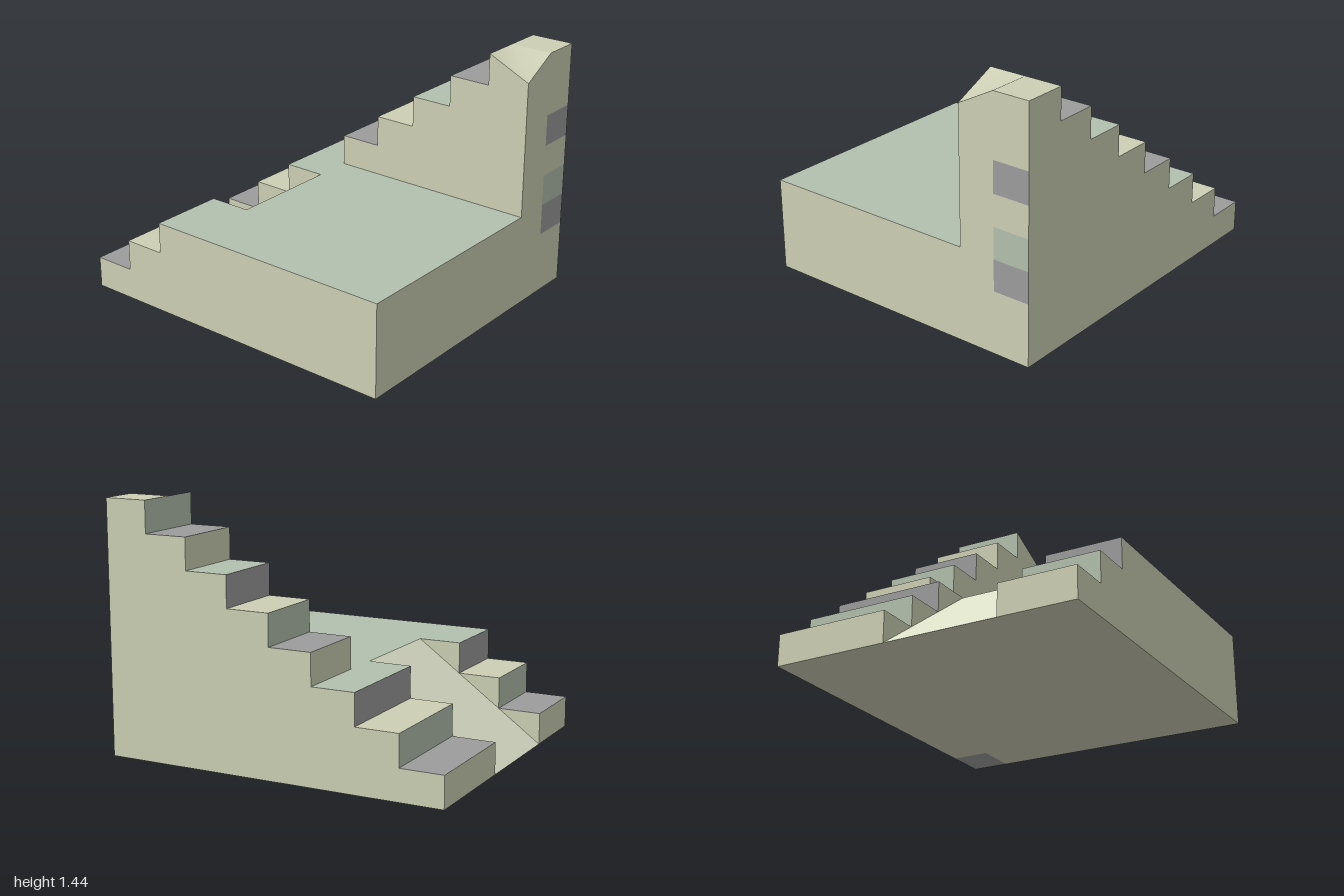
import * as THREE from 'three';

const TAN = 0xcccfb4, GREEN = 0xb3c0ae, GREY = 0x9c9c9c, PALE = 0xdcdfc8;
const CYCLE = [GREY, TAN, GREEN];
const W = 0.875;               // half width
const RISE = 0.1795, RUN = 0.25;
const DECK = 3 * RISE, TOP = 8 * RISE;
const RAMP_X0 = -0.4375, RAMP_X1 = 0.2175;
const TOWER_X = 0.4375, CHAMFER_X = 0.655, CHAMFER_Y = 1.32;
const stepZ = (i) => -1 + i * RUN;

export function createModel() {
  const model = new THREE.Group();
  const materials = {};
  const add = (name, color, geometry) => {
    materials[color] ??= new THREE.MeshStandardMaterial({ color });
    const mesh = new THREE.Mesh(geometry, materials[color]);
    mesh.name = name;
    model.add(mesh);
  };

  // Four corners, counter-clockwise as seen from outside
  const quad = (name, color, ...corners) => {
    const g = new THREE.BufferGeometry();
    g.setAttribute('position', new THREE.Float32BufferAttribute(corners.flat(), 3));
    g.setIndex([0, 1, 2, 0, 2, 3]);
    g.computeVertexNormals();
    add(name, color, g);
  };
  const outline = (points) =>
    new THREE.ShapeGeometry(new THREE.Shape(points.map(([u, v]) => new THREE.Vector2(u, v))));

  // Upright wall across x from a [z, y] outline; side is +1 or -1 for the way it faces
  const wall = (name, x, side, points) => {
    const g = outline(points.map(([z, y]) => [-side * z, y]));
    add(name, TAN, g.rotateY(side * Math.PI / 2).translate(x, 0, 0));
  };
  const tread = (color, x0, x1, z0, z1, y, name = 'tread') =>
    quad(name, color, [x1, y, z0], [x0, y, z0], [x0, y, z1], [x1, y, z1]);
  const riser = (color, x0, x1, y, z) =>
    quad('riser', color, [x1, y, z], [x0, y, z], [x0, y + RISE, z], [x1, y + RISE, z]);

  // Zigzag of [z, y] points for steps from..to
  const zigzag = (from, to) => {
    const points = [];
    for (let i = from; i < to; i++) {
      points.push([stepZ(i), i * RISE], [stepZ(i), (i + 1) * RISE]);
    }
    return points;
  };

  // Steps: the lower three flank the ramp, the rest climb the tower
  for (let i = 0; i < 8; i++) {
    const spans = i < 3 ? [[-W, RAMP_X0], [RAMP_X1, W]] : [[i === 7 ? CHAMFER_X : TOWER_X, W]];
    for (const [x0, x1] of spans) {
      tread(CYCLE[i % 3], x0, x1, stepZ(i), stepZ(i + 1), (i + 1) * RISE);
    }
    for (const [x0, x1] of i < 3 ? spans : [[TOWER_X, W]]) {
      riser(CYCLE[(i + 1) % 3], x0, x1, i * RISE, stepZ(i));
    }
  }

  // Deck and ramp
  tread(GREEN, -W, TOWER_X, stepZ(3), 1, DECK, 'deck');
  quad('ramp', PALE, [RAMP_X1, 0, -1], [RAMP_X0, 0, -1],
    [RAMP_X0, DECK, stepZ(3)], [RAMP_X1, DECK, stepZ(3)]);

  // Small triangles between ramp and steps
  for (let i = 0; i < 3; i++) {
    const tri = [[stepZ(i), i * RISE], [stepZ(i), (i + 1) * RISE], [stepZ(i + 1), (i + 1) * RISE]];
    wall('rampCheek', RAMP_X1, -1, tri);
    wall('rampCheek', RAMP_X0, 1, tri);
  }

  // Sloped corner on the top step
  quad('topSlope', TAN, [CHAMFER_X, TOP, stepZ(7)], [TOWER_X, TOP, stepZ(7)],
    [TOWER_X, CHAMFER_Y, 1], [CHAMFER_X, TOP, 1]);

  // Side walls
  wall('leftWall', W, 1, [...zigzag(0, 8), [1, TOP], [1, 0]]);
  wall('rightWall', -W, -1, [...zigzag(0, 3), [1, DECK], [1, 0]]);
  wall('towerInnerWall', TOWER_X, -1, [...zigzag(3, 8), [1, CHAMFER_Y], [1, DECK]]);

  // Front wall, with a column of coloured panels at its left end
  add('frontWall', TAN, outline([[-W, 0], [CHAMFER_X, 0], [CHAMFER_X, TOP],
    [TOWER_X, CHAMFER_Y], [TOWER_X, DECK], [-W, DECK]]).translate(0, 0, 1));
  [TAN, TAN, GREY, GREEN, TAN, GREY, TAN, TAN].forEach((color, i) => {
    const y0 = i * RISE, y1 = y0 + RISE;
    quad('frontPanel', color, [CHAMFER_X, y0, 1], [W, y0, 1], [W, y1, 1], [CHAMFER_X, y1, 1]);
  });

  // Underside, with a grey corner panel
  const z7 = stepZ(7);
  add('underside', TAN, outline([[-W, -1], [W, -1], [W, z7], [CHAMFER_X, z7],
    [CHAMFER_X, 1], [-W, 1]]).rotateX(Math.PI / 2));
  add('undersidePanel', GREY, outline([[CHAMFER_X, z7], [W, z7], [W, 1], [CHAMFER_X, 1]])
    .rotateX(Math.PI / 2));

  return model;
}
